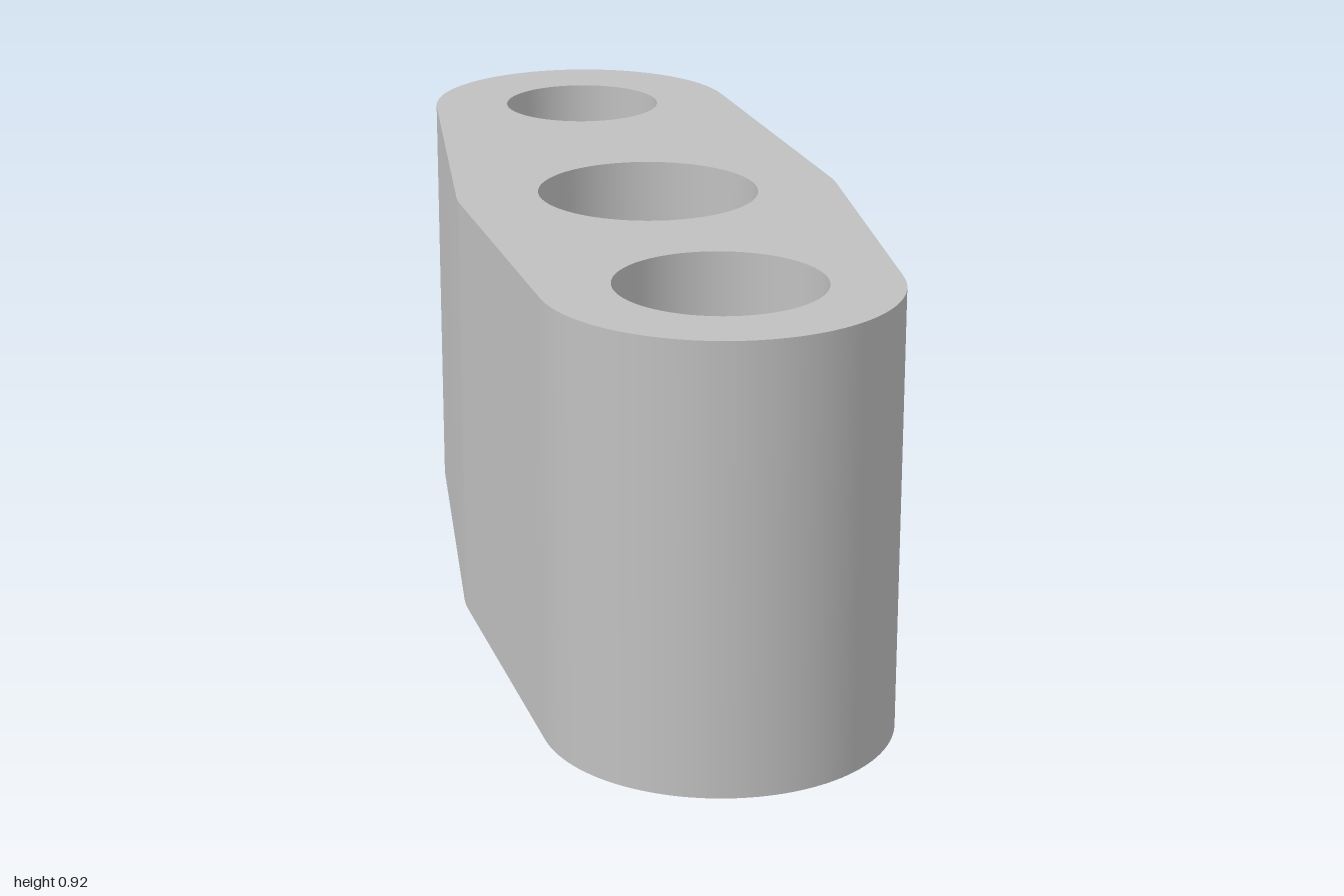
import * as THREE from 'three';
import { toCreasedNormals } from 'three/addons/utils/BufferGeometryUtils.js';

const HEIGHT = 0.92;

// Bosses along the link: centre (x, z), outer radius and bore radius
const BOSSES = [
  { x: -0.657, z: -0.35, outer: 0.343, bore: 0.177 },
  { x: 0.04, z: 0.018, outer: 0.408, bore: 0.234 },
  { x: 0.642, z: 0.33, outer: 0.358, bore: 0.211 },
];

// Direction of the contact point on the right-hand tangent from boss a to boss b
function tangentAngle(a, b) {
  const dx = b.x - a.x, dy = a.z - b.z;
  return Math.atan2(dy, dx) - Math.acos((a.outer - b.outer) / Math.hypot(dx, dy));
}

export function createModel() {
  const group = new THREE.Group();
  group.name = 'linkBlock';
  const grey = new THREE.MeshStandardMaterial({ color: 0xc0c0c0 });
  grey.name = 'grey';

  // Outline: arcs round the bosses joined by tangent lines
  const [left, middle, right] = BOSSES;
  const loop = [left, middle, right, middle];
  const outline = new THREE.Shape();
  loop.forEach((boss, i) => {
    const start = tangentAngle(loop[(i + 3) % 4], boss);
    const end = tangentAngle(boss, loop[(i + 1) % 4]);
    outline.absarc(boss.x, -boss.z, boss.outer, start, end, false);
  });
  outline.closePath();

  // Through bores
  for (const boss of BOSSES) {
    const bore = new THREE.Path();
    bore.absarc(boss.x, -boss.z, boss.bore, 0, Math.PI * 2, true);
    outline.holes.push(bore);
  }

  // Upright body with smooth walls and sharp rims
  const body = new THREE.ExtrudeGeometry(outline, { depth: HEIGHT, bevelEnabled: false, curveSegments: 32 });
  body.rotateX(-Math.PI / 2);
  const mesh = new THREE.Mesh(toCreasedNormals(body, 0.6), grey);
  mesh.name = 'linkBody';
  group.add(mesh);
  return group;
}
